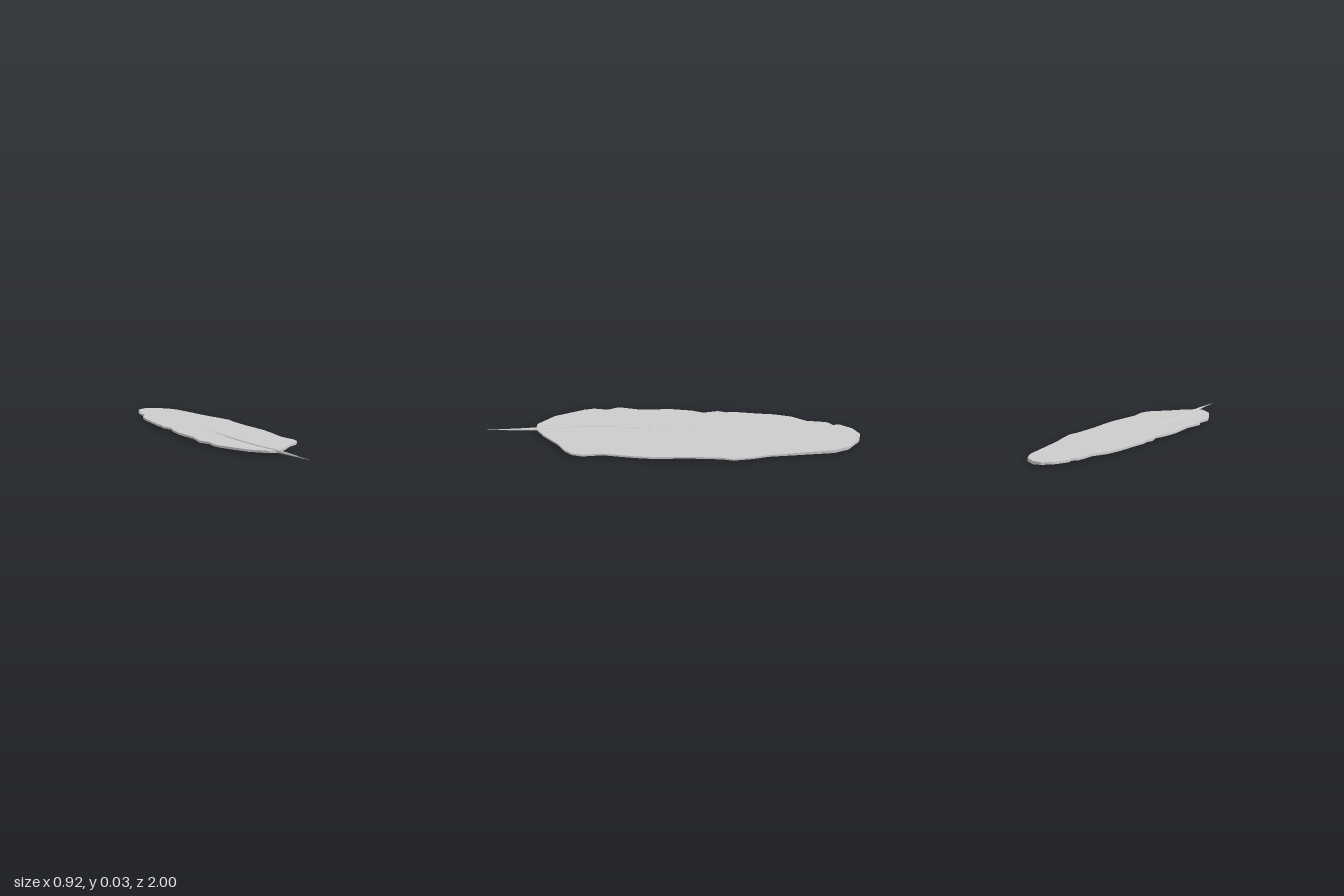
import * as THREE from 'three';

const material = new THREE.MeshStandardMaterial({ color: 0xcccccc, flatShading: true, side: THREE.DoubleSide });

// Outline of the vane as [x, z], from the tip down the left edge and back up the right one
const leftEdge = [
  [0.37, -1], [0.415, -0.97], [0.457, -0.88], [0.457, -0.79], [0.365, -0.43], [0.35, -0.33],
  [0.325, -0.225], [0.29, -0.17], [0.215, 0], [0.145, 0.19], [0.1, 0.28], [0.01, 0.44],
  [-0.02, 0.55], [-0.055, 0.6], [-0.1, 0.627], [-0.17, 0.643], [-0.28, 0.695], [-0.36, 0.717],
];
const rightEdge = [
  [-0.4, 0.695], [-0.44, 0.58], [-0.44, 0.4], [-0.43, 0.34], [-0.39, 0.27], [-0.39, 0.2],
  [-0.32, 0.09], [-0.26, -0.08], [-0.2, -0.19], [-0.155, -0.245], [-0.14, -0.33], [-0.11, -0.37],
  [-0.1, -0.41], [-0.035, -0.53], [0.01, -0.62], [0.07, -0.71], [0.145, -0.775], [0.165, -0.82],
  [0.2, -0.88], [0.235, -0.895], [0.24, -0.93], [0.305, -0.985],
];

// Thin flat vane, its underside drooping a little at the tip
function vane() {
  const shape = new THREE.Shape([...leftEdge, ...rightEdge].map(([x, z]) => new THREE.Vector2(x, -z)));
  const geometry = new THREE.ExtrudeGeometry(shape, { depth: 0.012, bevelEnabled: false });
  geometry.rotateX(-Math.PI / 2).translate(0, 0.009, 0);
  const p = geometry.attributes.position;
  for (let i = 0; i < p.count; i++) {
    if (p.getY(i) < 0.015) {
      const droop = THREE.MathUtils.clamp((p.getX(i) - 0.36) / 0.09, 0, 1);
      p.setY(i, 0.009 - 0.008 * droop);
    }
  }
  geometry.computeVertexNormals();
  const mesh = new THREE.Mesh(geometry, material);
  mesh.name = 'vane';
  return mesh;
}

// Curved quill, a tube tapered to a point at both ends
function quill() {
  const path = new THREE.CatmullRomCurve3([
    [-0.46, 0.017, 1], [-0.355, 0.017, 0.7], [-0.318, 0.017, 0.56], [-0.26, 0.017, 0.4],
    [-0.13, 0.017, 0.1], [0.015, 0.017, -0.16], [0.14, 0.018, -0.4],
  ].map((v) => new THREE.Vector3(...v)));
  const segments = 24, sides = 8, radius = 0.01;
  const geometry = new THREE.TubeGeometry(path, segments, radius, sides);
  const p = geometry.attributes.position;
  const v = new THREE.Vector3();
  for (let i = 0; i <= segments; i++) {
    const t = i / segments;
    const centre = path.getPointAt(t);
    const taper = Math.max(0.03, Math.min(1, t / 0.22, (1 - t) / 0.5));
    for (let j = 0; j <= sides; j++) {
      const k = i * (sides + 1) + j;
      v.fromBufferAttribute(p, k).sub(centre).multiplyScalar(taper).add(centre);
      p.setXYZ(k, v.x, v.y, v.z);
    }
  }
  geometry.computeVertexNormals();
  const mesh = new THREE.Mesh(geometry, material);
  mesh.name = 'quill';
  return mesh;
}

export function createModel() {
  const feather = new THREE.Group();
  feather.name = 'feather';
  feather.add(vane(), quill());
  return feather;
}
